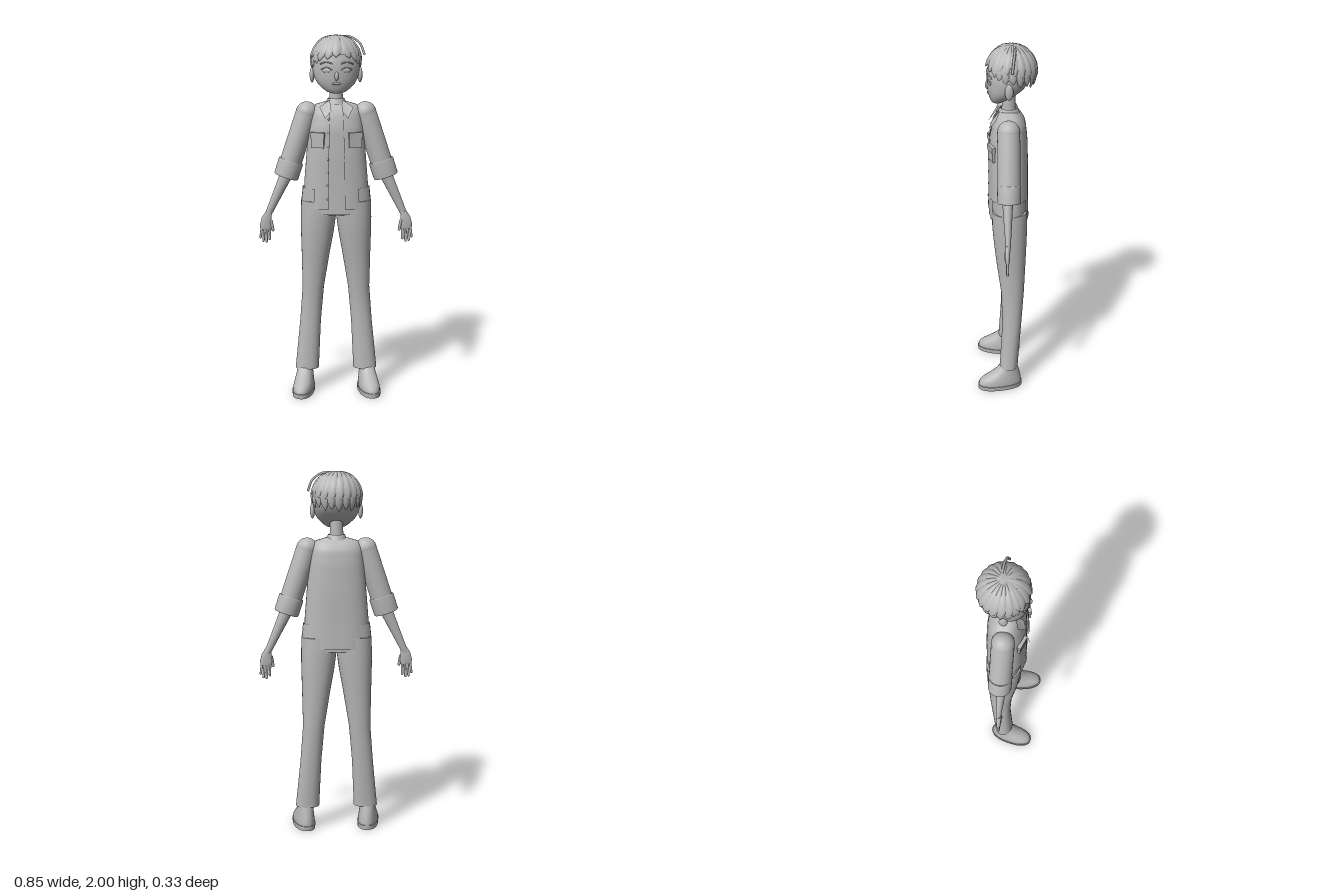
import * as THREE from 'three';
import { mergeVertices, mergeGeometries } from 'three/addons/utils/BufferGeometryUtils.js';

const grey = new THREE.MeshStandardMaterial({ color: 0xb8b8b8, side: THREE.DoubleSide });
grey.name = 'grey';

// Smooth surface through points fn(u, v), u and v from 0 to 1
function grid(fn, nu, nv) {
  const pos = [], idx = [];
  for (let i = 0; i <= nu; i++) for (let j = 0; j <= nv; j++) pos.push(...fn(i / nu, j / nv));
  for (let i = 0; i < nu; i++) for (let j = 0; j < nv; j++) {
    const a = i * (nv + 1) + j, b = a + nv + 1;
    idx.push(a, a + 1, b + 1, a, b + 1, b);
  }
  let g = new THREE.BufferGeometry();
  g.setAttribute('position', new THREE.Float32BufferAttribute(pos, 3));
  g.setIndex(idx);
  g = mergeVertices(g, 1e-5);
  g.computeVertexNormals();
  return g;
}

// Point on a ring [y, centreX, halfWidth, zFront, zBack]; e rounds or squares it
function ringPoint([y, cx, rx, zf, zb], a, e = 2) {
  const p = (t) => Math.sign(t) * Math.abs(t) ** (2 / e);
  return [cx + rx * p(Math.sin(a)), y, (zf + zb) / 2 + (zf - zb) / 2 * p(Math.cos(a))];
}

// Ring interpolated at height y
function ringAt(rings, y) {
  let i = 0;
  while (i < rings.length - 2 && rings[i + 1][0] < y) i++;
  const t = (y - rings[i][0]) / (rings[i + 1][0] - rings[i][0]);
  return rings[i].map((q, k) => q + (rings[i + 1][k] - q) * t);
}

// Closed body through rings listed from bottom to top, with flat ends
function loft(rings, e = 2, n = 32) {
  const m = rings.length - 1, T = Math.PI * 2;
  const cap = (r, top) => grid((u, v) => {
    const k = top ? 1 - u : u;
    return ringPoint([r[0], r[1], r[2] * k, (r[3] + r[4]) / 2 + (r[3] - r[4]) / 2 * k,
      (r[3] + r[4]) / 2 - (r[3] - r[4]) / 2 * k], v * T, e);
  }, 1, n);
  const side = grid((u, v) => ringPoint(rings[Math.round(u * m)], v * T, e), m, n);
  return mergeGeometries([cap(rings[0], false), side, cap(rings[m], true)]);
}

function add(parent, name, geo, x = 0, y = 0, z = 0) {
  const m = new THREE.Mesh(geo, grey);
  m.name = name;
  m.position.set(x, y, z);
  parent.add(m);
  return m;
}

const ball = (rx, ry, rz) => new THREE.SphereGeometry(1, 20, 14).scale(rx, ry, rz);
const tube = (pts, r) => new THREE.TubeGeometry(
  new THREE.CatmullRomCurve3(pts.map((p) => new THREE.Vector3(...p))), 16, r, 6);

const SHIRT = [[1.03, 0, 0.18, 0.094, -0.125], [1.2, 0, 0.175, 0.091, -0.121], [1.35, 0, 0.163, 0.09, -0.12],
  [1.5, 0, 0.15, 0.085, -0.115], [1.58, 0, 0.14, 0.068, -0.105], [1.62, 0, 0.122, 0.045, -0.08],
  [1.638, 0, 0.09, 0.033, -0.06], [1.645, 0, 0.045, 0.02, -0.05]];
const HEAD = [[1.69, 0, 0.025, 0.068, 0.03], [1.697, 0, 0.05, 0.076, 0.01], [1.715, 0, 0.075, 0.084, -0.02],
  [1.74, 0, 0.1, 0.092, -0.06], [1.77, 0, 0.118, 0.096, -0.098], [1.81, 0, 0.127, 0.098, -0.125],
  [1.86, 0, 0.13, 0.097, -0.14], [1.92, 0, 0.115, 0.08, -0.135], [1.96, 0, 0.08, 0.045, -0.1],
  [1.98, 0, 0.03, 0, -0.06]];

function buildHead(root) {
  const head = new THREE.Group();
  head.name = 'head';
  root.add(head);
  add(head, 'skull', loft(HEAD));
  add(head, 'neck', new THREE.CylinderGeometry(0.034, 0.04, 0.16, 24), 0, 1.66, -0.017);
  add(head, 'nose', ball(0.011, 0.024, 0.012), 0, 1.782, 0.095);
  add(head, 'mouth', ball(0.026, 0.006, 0.006), 0, 1.742, 0.09);
  for (const s of [-1, 1]) {
    add(head, 'ear', ball(0.013, 0.042, 0.022), s * 0.13, 1.785, -0.015);
    add(head, 'eye', ball(0.025, 0.012, 0.006), s * 0.052, 1.812, 0.085).rotation.y = s * 0.3;
    add(head, 'eyelid', tube([[s * 0.024, 1.815, 0.097], [s * 0.05, 1.828, 0.092], [s * 0.082, 1.818, 0.077]], 0.003));
    add(head, 'eyebrow', tube([[s * 0.022, 1.848, 0.097], [s * 0.055, 1.857, 0.09], [s * 0.088, 1.846, 0.073]], 0.004));
  }

  // Hair: a cap under two layers of pointed locks that fan out from the crown
  const hair = new THREE.Group();
  hair.name = 'hair';
  head.add(hair);
  const C = [0, 1.86, -0.03];
  add(hair, 'hairCap', new THREE.SphereGeometry(1, 32, 16, 0, Math.PI * 2, 0, 1.3).scale(0.134, 0.134, 0.13), ...C);
  const lock = (phi, tip, w, sweep, lift) => add(hair, 'hairLock', grid((u, v) => {
    const t = 1 - u, k = v * 2 - 1, p = 0.08 + (tip - 0.08) * t;
    const a = phi + sweep * t * t + k * w * Math.sqrt(Math.max(0, 1 - t ** 3.5));
    const r = lift + 0.045 * (1 - k * k) * Math.min(1, 3 * t);
    return [0.134 * r * Math.sin(p) * Math.sin(a), 0.134 * r * Math.cos(p), 0.13 * r * Math.sin(p) * Math.cos(a)];
  }, 12, 6), ...C);
  const N = 15;
  for (let i = 0; i < N; i++) {
    const a = 0.95 + (Math.PI * 2 - 1.9) * i / (N - 1), back = (1 - Math.cos(a)) / 2;
    lock(a, 1.55 + 0.55 * back + (i % 2) * 0.08, 0.24, 0.05, 1.0);
    lock(a + 0.15, 1.3 + 0.4 * back, 0.2, -0.06, 1.02);
  }
  // Fringe parted slightly to the model's left
  [[-0.95, 1.62, -0.1], [-0.6, 1.56, -0.12], [-0.25, 1.5, -0.12], [0.05, 1.42, -0.08],
    [0.4, 1.46, 0.12], [0.72, 1.58, 0.12], [0.98, 1.68, 0.08]].forEach(([a, t, s], i) => lock(a, t, 0.28, s, 1.005 + 0.01 * (i % 2)));
  add(hair, 'looseStrand', tube([[0.02, 1.99, -0.045], [0.08, 1.985, -0.045], [0.13, 1.95, -0.038], [0.155, 1.89, -0.03]], 0.007));
}

function buildShirt(root) {
  const shirt = new THREE.Group();
  shirt.name = 'shirt';
  root.add(shirt);
  const E = 2.6, T = Math.PI * 2, GAP = 0.165, PANEL = 0.66;
  const patch = (name, a0, a1, y0, y1, grow = 0, nv = 16) => add(shirt, name, grid((u, v) => {
    const r = ringAt(SHIRT, y0 + (y1 - y0) * u);
    return ringPoint([r[0], 0, r[2] + grow, r[3] + grow, r[4] - grow], a0 + (a1 - a0) * v, E);
  }, 24, nv));
  patch('shirtBody', GAP, T - GAP, 1.17, 1.645, 0, 60);
  patch('backTail', Math.PI - PANEL, Math.PI + PANEL, 1.04, 1.17);
  patch('innerShirt', -0.42, 0.42, 1.03, 1.64, -0.008);
  for (const s of [-1, 1]) {
    const [a, b] = s > 0 ? [GAP, PANEL] : [-PANEL, -GAP];
    patch('frontTail', a, b, 1.06, 1.17);
    patch('placket', s > 0 ? GAP : -0.25, s > 0 ? 0.25 : -GAP, 1.06, 1.6, 0.003, 3);

    // Chest pocket with its flap
    const pocket = new THREE.Group();
    pocket.name = 'pocket';
    pocket.position.set(s * 0.102, 1.438, 0.076);
    pocket.rotation.y = s * 0.33;
    shirt.add(pocket);
    add(pocket, 'pocketBag', new THREE.BoxGeometry(0.072, 0.08, 0.014));
    add(pocket, 'pocketFlap', new THREE.BoxGeometry(0.078, 0.03, 0.02), 0, 0.028, 0.001);

    // Folded collar flap
    const q = [[0.028, 1.595, 0.072], [0.062, 1.558, 0.09], [0.035, 1.652, 0.028], [0.092, 1.615, 0.052]];
    add(shirt, 'collarFlap', grid((u, v) => [0, 1, 2].map((k) => {
      const w = s > 0 ? v : 1 - v;
      const c = (q[0][k] * (1 - w) + q[1][k] * w) * (1 - u) + (q[2][k] * (1 - w) + q[3][k] * w) * u;
      return k ? c : s * c;
    }), 4, 4));
  }
  for (let i = 0; i < 7; i++) {
    const p = ringPoint(ringAt(SHIRT, 1.12 + i * 0.072), -0.2, E);
    add(shirt, 'button', ball(0.006, 0.006, 0.003), p[0], p[1], p[2] + 0.004);
  }
  add(shirt, 'collarBand', new THREE.CylinderGeometry(0.046, 0.058, 0.03, 28, 1, true), 0, 1.643, -0.017);
}

function buildArm(root, s) {
  const arm = new THREE.Group();
  arm.name = s > 0 ? 'leftArm' : 'rightArm';
  arm.position.set(s * 0.16, 1.58, -0.012);
  arm.rotation.z = s * 0.318;
  root.add(arm);
  const round = (y, r, rz = r) => [y, 0, r, rz, -rz];
  add(arm, 'shoulder', ball(0.06, 0.061, 0.06));
  add(arm, 'sleeve', loft([round(-0.29, 0.06), round(-0.15, 0.06), round(0.0, 0.059), round(0.025, 0.053)]));
  add(arm, 'cuff', loft([round(-0.37, 0.064, 0.059), round(-0.365, 0.068, 0.062), round(-0.28, 0.069, 0.062), round(-0.275, 0.065, 0.059)]));

  const fore = new THREE.Group();
  fore.name = 'forearm';
  fore.position.set(s * 0.27, 1.25, -0.004);
  fore.rotation.z = s * 0.43;
  root.add(fore);
  add(fore, 'forearmSkin', loft([round(-0.27, 0.015, 0.012), round(-0.24, 0.019, 0.014), round(-0.12, 0.027, 0.022), round(0, 0.035, 0.029)], 2, 20));

  // Hand hanging down, with four fingers and a thumb
  const hand = new THREE.Group();
  hand.name = 'hand';
  hand.position.set(s * 0.385, 1.0, 0);
  hand.rotation.z = s * 0.08;
  root.add(hand);
  add(hand, 'palm', loft([[-0.065, 0, 0.03, 0.009, -0.009], [-0.04, 0, 0.034, 0.013, -0.013],
    [0, 0, 0.027, 0.013, -0.013], [0.035, -s * 0.008, 0.016, 0.011, -0.011]], 2.3, 20));
  [0.058, 0.073, 0.07, 0.052].forEach((len, i) => {
    const x = s * (-0.024 + i * 0.016);
    add(hand, 'finger', new THREE.CapsuleGeometry(0.0068, len, 4, 10), x, -0.06 - len / 2, 0).rotation.z = s * (i - 1.5) * 0.04;
  });
  add(hand, 'thumb', new THREE.CapsuleGeometry(0.008, 0.05, 4, 10), -s * 0.034, -0.04, 0.006).rotation.z = -s * 0.25;
}

function buildLeg(root, s) {
  // Trouser leg: [y, innerX, outerX, zFront, zBack]
  const rows = [[0.13, 0.098, 0.23, 0.038, -0.066], [0.16, 0.097, 0.227, 0.036, -0.067], [0.4, 0.086, 0.203, 0.022, -0.085],
    [0.6, 0.068, 0.188, 0.028, -0.099], [0.8, 0.035, 0.192, 0.055, -0.108], [0.92, 0.013, 0.195, 0.068, -0.113],
    [1.0, 0.002, 0.196, 0.075, -0.115], [1.1, -0.01, 0.193, 0.077, -0.115]];
  add(root, s > 0 ? 'leftTrouserLeg' : 'rightTrouserLeg',
    loft(rows.map(([y, a, b, f, k]) => [y, s * (a + b) / 2, (b - a) / 2, f, k]), 2.2));

  const shoe = new THREE.Group();
  shoe.name = s > 0 ? 'leftShoe' : 'rightShoe';
  shoe.position.set(s * 0.178, 0, 0);
  shoe.rotation.y = s * 0.17;
  root.add(shoe);
  add(shoe, 'sole', loft([[0, 0, 0.058, 0.164, -0.088], [0.026, 0, 0.06, 0.166, -0.09]], 2.3));
  add(shoe, 'upper', loft([[0.026, 0, 0.056, 0.161, -0.086], [0.045, 0, 0.056, 0.158, -0.085], [0.062, 0, 0.053, 0.14, -0.082],
    [0.085, 0, 0.049, 0.1, -0.077], [0.11, 0, 0.045, 0.062, -0.07], [0.14, 0, 0.042, 0.035, -0.062]], 2.2));
}

export function createModel() {
  const root = new THREE.Group();
  root.name = 'figure';
  buildHead(root);
  buildShirt(root);
  add(root, 'trouserHips', loft([[1.025, 0, 0.192, 0.075, -0.114], [1.08, 0, 0.194, 0.079, -0.115], [1.175, 0, 0.184, 0.08, -0.112]], 2.5));
  for (const s of [-1, 1]) {
    buildArm(root, s);
    buildLeg(root, s);
  }
  return root;
}
